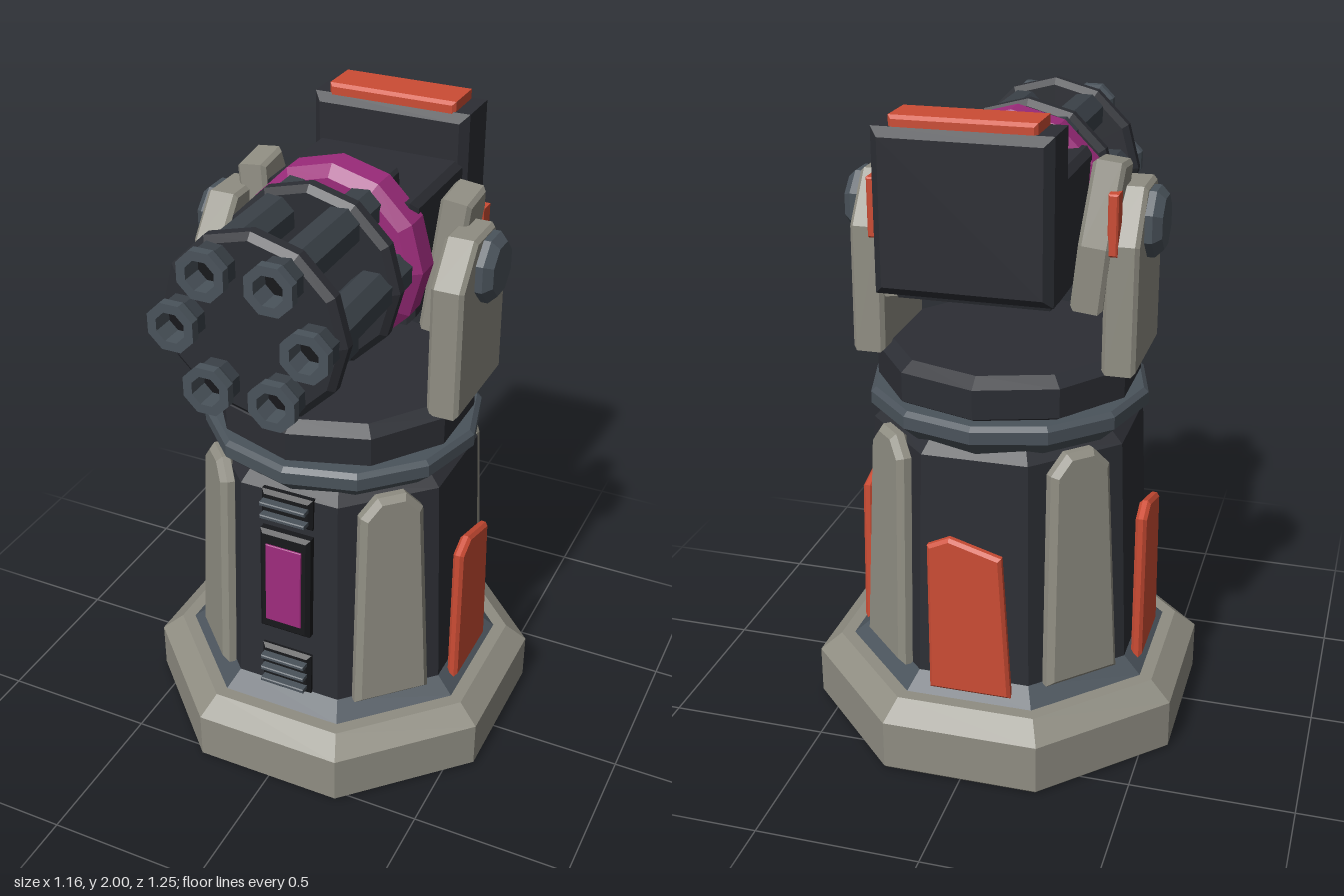
import * as THREE from 'three';

const paint = (color) => new THREE.MeshStandardMaterial({ color, flatShading: true });
const STONE = paint(0x8f8d82), DARK = paint(0x2c2e34), STEEL = paint(0x4a535b),
  BARREL = paint(0x3a4148), ORANGE = paint(0xcc4c34), MAGENTA = paint(0x9c2b7b), BLACK = paint(0x17181b);

function add(parent, name, geometry, material, x = 0, y = 0, z = 0) {
  const mesh = new THREE.Mesh(geometry, material);
  mesh.name = name;
  mesh.position.set(x, y, z);
  parent.add(mesh);
  return mesh;
}

function group(parent, name, x = 0, y = 0, z = 0) {
  const g = new THREE.Group();
  g.name = name;
  g.position.set(x, y, z);
  parent.add(g);
  return g;
}

// Faceted solid of revolution; profile runs upwards as [radius, height]
const turned = (profile, sides, turn = 0) =>
  new THREE.LatheGeometry(profile.map(([r, y]) => new THREE.Vector2(r, y)), sides, turn);

// Octagon with flat front; profile radii are measured to the flats
const octagon = (profile) =>
  turned(profile.map(([r, y]) => [r / Math.cos(Math.PI / 8), y]), 8, Math.PI / 8);

// Chamfered plate centred on its thickness, outline in x/y
function plate(points, thickness, bevel = 0.012) {
  const shape = new THREE.Shape(points.map(([x, y]) => new THREE.Vector2(x, y)));
  const geo = new THREE.ExtrudeGeometry(shape, {
    depth: thickness - 2 * bevel, bevelEnabled: true, bevelThickness: bevel,
    bevelSize: bevel, bevelOffset: -bevel, bevelSegments: 1,
  });
  return geo.translate(0, 0, bevel - thickness / 2);
}

// Chamfered plate with a side outline in [z, y] and its thickness along x
const sidePlate = (points, thickness, bevel) =>
  plate(points.map(([z, y]) => [-z, y]), thickness, bevel).rotateY(Math.PI / 2);

const block = (w, h, d, bevel = 0.012) =>
  plate([[-w / 2, -h / 2], [w / 2, -h / 2], [w / 2, h / 2], [-w / 2, h / 2]], d, bevel);

function buildPedestal(root) {
  const pedestal = group(root, 'pedestal', 0, 0, -0.042);
  add(pedestal, 'base', octagon([[0, 0], [0.57, 0], [0.58, 0.01], [0.58, 0.165], [0.515, 0.222], [0, 0.222]]), STONE);
  add(pedestal, 'plinth', octagon([[0.475, 0.215], [0.475, 0.222], [0.42, 0.27], [0, 0.27]]), STEEL);
  add(pedestal, 'column', octagon([[0.42, 0.26], [0.39, 0.99], [0.35, 1.03], [0, 1.03]]), DARK);
  add(pedestal, 'lowerCollar', turned([[0, 1.0], [0.37, 1.0], [0.435, 1.06], [0.435, 1.098], [0.42, 1.112], [0, 1.112]], 12), STEEL);
  add(pedestal, 'turntable', turned([[0.36, 1.1], [0.405, 1.125], [0.405, 1.215], [0.365, 1.245], [0, 1.245]], 10), DARK);

  // Corner buttresses
  const buttress = plate([[-0.125, 0], [0.125, 0], [0.1, 0.69], [0.045, 0.75], [-0.045, 0.75], [-0.1, 0.69]], 0.06, 0.018);
  for (let i = 0; i < 4; i++) {
    const corner = group(pedestal, 'buttress', 0, 0, 0);
    corner.rotation.y = Math.PI / 4 + i * Math.PI / 2;
    add(corner, 'buttressPlate', buttress, STONE, 0, 0.265, 0.432).rotation.x = -0.04;
  }

  // Armour panels on both sides and the back
  const armour = plate([[-0.128, 0.24], [0.128, 0.24], [0.1, 0.715], [-0.06, 0.762], [-0.128, 0.73]], 0.035, 0.01);
  for (let i = 1; i < 4; i++) {
    const side = group(pedestal, 'armour');
    side.rotation.y = i * Math.PI / 2;
    add(side, 'armourPanel', armour, ORANGE, 0, 0, 0.448);
  }

  // Front window and vents, lying on the sloped face
  const face = group(pedestal, 'frontFittings', 0, 0.27, 0.42);
  face.rotation.x = -0.04;
  add(face, 'windowFrame', block(0.17, 0.365, 0.05), BLACK, 0, 0.413, 0.008);
  add(face, 'window', block(0.12, 0.28, 0.01, 0.002), MAGENTA, 0, 0.41, 0.034);
  for (const [y, h, slats] of [[0.075, 0.15, [-0.045, 0, 0.045]], [0.677, 0.105, [-0.025, 0.02]]]) {
    add(face, 'ventFrame', block(0.17, h, 0.04), BLACK, 0, y, 0);
    for (const dy of slats) add(face, 'ventSlat', block(0.15, 0.014, 0.045, 0.003), STEEL, 0, y + dy, 0.026);
  }
}

function buildCradle(root) {
  const cradle = group(root, 'cradle');
  const bracket = sidePlate([[0.105, 1.225], [0.105, 1.635], [0.005, 1.757], [-0.14, 1.757], [-0.25, 1.61], [-0.258, 1.225]], 0.1);
  const arm = sidePlate([[-0.05, -0.215], [-0.265, -0.215], [-0.265, -0.02], [-0.2, 0.215], [-0.075, 0.2]], 0.095);
  const hub = turned([[0, 0], [0.105, 0], [0.105, 0.025], [0.08, 0.05], [0, 0.05]], 8, Math.PI / 8);
  for (const s of [1, -1]) {
    add(cradle, 'bracket', bracket, STONE, s * 0.38, 0, 0);
    add(cradle, 'innerArm', arm, STONE, s * 0.306, 1.625, 0).rotation.z = -s * 0.11;
    add(cradle, 'hub', hub, STEEL, s * 0.427, 1.645, -0.083).rotation.z = -s * Math.PI / 2;
    add(cradle, 'armMarker', block(0.03, 0.18, 0.06, 0.005), ORANGE, s * 0.355, 1.67, -0.228);
  }
}

function buildGun(root) {
  const gun = group(root, 'gun', 0, 1.645, 0);
  const along = (profile, sides, turn) => turned(profile, sides, turn).rotateX(Math.PI / 2);

  // Receiver, rear housing and lid
  add(gun, 'receiver', sidePlate([[0, -0.2], [0, 0.185], [-0.37, 0.185], [-0.44, -0.12], [-0.42, -0.18], [-0.25, -0.18]], 0.48, 0.02), DARK);
  add(gun, 'sightBlock', sidePlate([[-0.03, 0.17], [-0.03, 0.235], [-0.115, 0.235], [-0.125, 0.17]], 0.28, 0.01), DARK);
  add(gun, 'rearHousing', block(0.505, 0.465, 0.19, 0.025), DARK, 0, 0.093, -0.44);
  add(gun, 'housingLid', block(0.41, 0.045, 0.145, 0.01), ORANGE, 0, 0.333, -0.438);

  // Ring where the barrels meet the receiver
  add(gun, 'collarRing', along([[0, -0.065], [0.25, -0.065], [0.285, -0.035], [0.285, 0.045], [0.25, 0.072], [0, 0.072]], 12), MAGENTA);

  // Barrel cluster and its two clamps
  add(gun, 'core', along([[0.06, 0], [0.06, 0.5], [0, 0.5]], 8), DARK);
  const clamp = along([[0, -0.032], [0.258, -0.032], [0.278, -0.015], [0.278, 0.015], [0.258, 0.032], [0, 0.032]], 12);
  for (const z of [0.175, 0.515]) add(gun, 'barrelClamp', clamp, DARK, 0, 0, z);
  const tube = along([[0.066, 0.04], [0.066, 0.585]], 8, Math.PI / 8);
  const muzzle = along([[0.066, 0.585], [0.075, 0.6], [0.075, 0.628], [0.046, 0.628], [0.046, 0.55]], 8, Math.PI / 8);
  const bore = along([[0, 0.56], [0.046, 0.56]].reverse(), 8, Math.PI / 8);
  for (let i = 0; i < 6; i++) {
    const a = i * Math.PI / 3;
    const barrel = group(gun, 'barrel', 0.198 * Math.cos(a), 0.198 * Math.sin(a), 0);
    add(barrel, 'barrelTube', tube, BARREL);
    add(barrel, 'muzzle', muzzle, STEEL);
    add(barrel, 'bore', bore, BLACK);
  }
}

export function createModel() {
  const root = new THREE.Group();
  root.name = 'rotaryTurret';
  buildPedestal(root);
  buildCradle(root);
  buildGun(root);
  return root;
}
